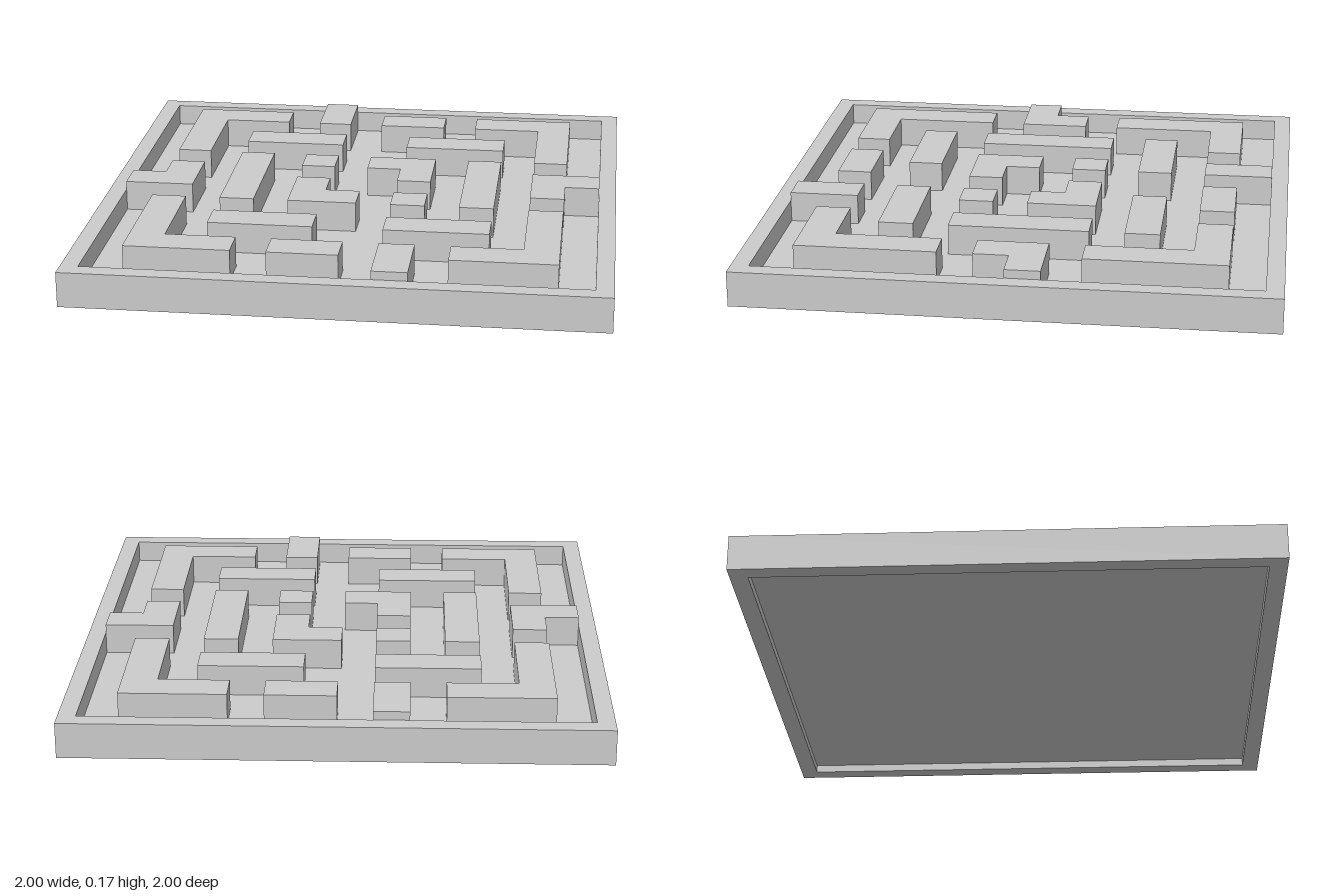
import * as THREE from 'three';

const U = 2 / 15;            // one maze cell
const RIM_TOP = 0.135, FLOOR_LOW = 0.03, FLOOR_TOP = 0.05, WALL_TOP = 0.168;
const INNER = 7 * U;         // inside of the rim

// Outlines [x, z] in cells; each also appears turned half a turn about the centre
const walls = {
  backLeftCorner: [[-6, -6], [-3, -6], [-3, -5], [-5, -5], [-5, -2], [-6, -2]],
  backRightCorner: [[3, -6], [6, -6], [6, -2], [5, -2], [5, -5], [3, -5]],
  entryStub: [[-2, -7], [-1, -7], [-1, -5], [-2, -5]],
  shortBar: [[0, -6], [2, -6], [2, -5], [0, -5]],
  leftCrossBar: [[-4, -4], [-1, -4], [-1, -3], [-4, -3]],
  rightCrossBar: [[1, -4], [4, -4], [4, -3], [1, -3]],
  longBar: [[-4, -2], [-3, -2], [-3, 2], [-4, 2]],
  centreBlock: [[-2, -2], [-1, -2], [-1, -1], [-2, -1]],
  centreHook: [[0, -2], [2, -2], [2, 0], [1, 0], [1, -1], [0, -1]],
  sideHook: [[-6, -1], [-5, -1], [-5, 1], [-7, 1], [-7, 0], [-6, 0]],
};

const points = (list, s = 1) => list.map(([x, z]) => new THREE.Vector2(x * s, z * s));
const square = (r) => points([[-r, -r], [r, -r], [r, r], [-r, r]]);

// Upright prism from a plan outline in x and z
function prism(shape, low, top) {
  const g = new THREE.ExtrudeGeometry(shape, { depth: top - low, bevelEnabled: false });
  g.rotateX(Math.PI / 2);
  g.translate(0, top, 0);
  return g;
}

export function createModel() {
  const model = new THREE.Group();
  model.name = 'mazeBoard';
  const material = new THREE.MeshStandardMaterial({ color: 0xcccccc, flatShading: true });
  const add = (name, geometry) => {
    const mesh = new THREE.Mesh(geometry, material);
    mesh.name = name;
    model.add(mesh);
  };

  // Square frame, open underneath
  const frame = new THREE.Shape(square(1));
  frame.holes.push(new THREE.Path(square(INNER)));
  add('rim', prism(frame, 0, RIM_TOP));

  // Recessed floor
  add('floor', prism(new THREE.Shape(square(INNER)), FLOOR_LOW, FLOOR_TOP));

  // Maze walls, in half-turn pairs
  for (const [name, outline] of Object.entries(walls)) {
    add(name, prism(new THREE.Shape(points(outline, U)), FLOOR_TOP, WALL_TOP));
    add(name + 'Opposite', prism(new THREE.Shape(points(outline, -U)), FLOOR_TOP, WALL_TOP));
  }
  return model;
}
